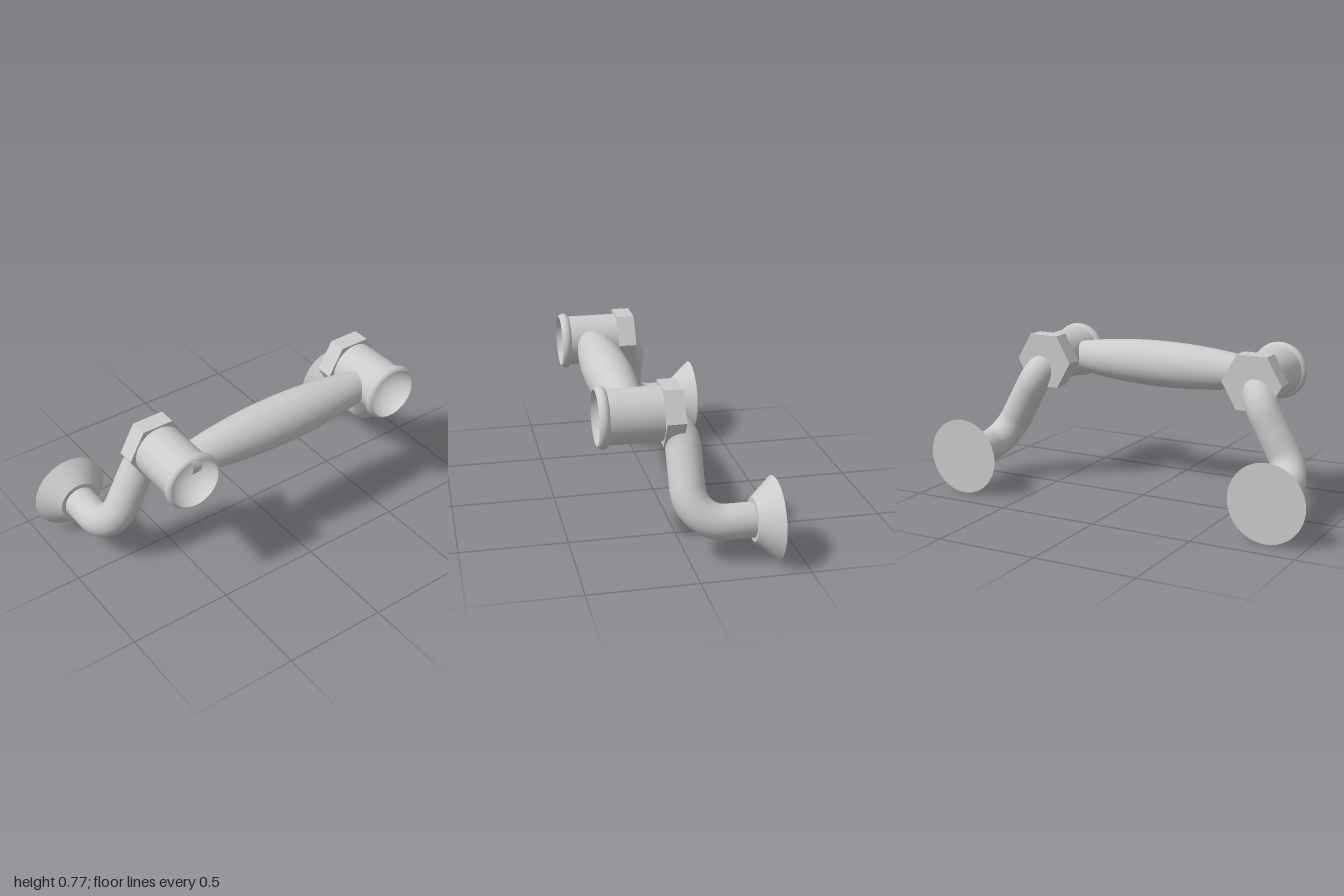
import * as THREE from 'three';

const CUP = { x: 0.57, y: 0.627 };      // axis of the open end cups
const FLANGE = { x: 0.8125, y: 0.1875 }; // axis of the wall flanges
const material = new THREE.MeshStandardMaterial({ color: 0xcccccc });
const flatMaterial = new THREE.MeshStandardMaterial({ color: 0xcccccc, flatShading: true });

function add(parent, name, geometry, mat = material) {
  const mesh = new THREE.Mesh(geometry, mat);
  mesh.name = name;
  parent.add(mesh);
  return mesh;
}

// Lathe around the z axis: points are [radius, z]
function latheZ(points) {
  return new THREE.LatheGeometry(points.map(([r, z]) => new THREE.Vector2(r, z)), 64).rotateX(Math.PI / 2);
}

// Points of an arc in the (radius, z) plane
function arc(cr, cz, radius, from, to, steps) {
  return Array.from({ length: steps + 1 }, (_, i) => {
    const a = THREE.MathUtils.degToRad(from + (to - from) * i / steps);
    return [Math.max(0, cr + radius * Math.cos(a)), cz + radius * Math.sin(a)];
  });
}

// Straight runs joined by round bends at the corners
function bentPath(points, bend) {
  const path = new THREE.CurvePath();
  let start = points[0];
  for (let i = 1; i < points.length - 1; i++) {
    const corner = points[i];
    const toward = (p) => p.clone().sub(corner).normalize().multiplyScalar(bend).add(corner);
    const a = toward(points[i - 1]), b = toward(points[i + 1]);
    path.add(new THREE.LineCurve3(start, a));
    path.add(new THREE.CubicBezierCurve3(a, a.clone().lerp(corner, 0.5523), b.clone().lerp(corner, 0.5523), b));
    start = b;
  }
  path.add(new THREE.LineCurve3(start, points[points.length - 1]));
  return path;
}

function createBracket(side) {
  const bracket = new THREE.Group();
  bracket.name = side > 0 ? 'leftBracket' : 'rightBracket';

  // Conical wall flange
  add(bracket, 'wallFlange', new THREE.CylinderGeometry(0.1, 0.1875, 0.1, 64).rotateX(Math.PI / 2))
    .position.set(side * FLANGE.x, FLANGE.y, -0.33);

  // Pipe rising from the flange and bending forward into the nut
  const path = bentPath([
    new THREE.Vector3(side * FLANGE.x, FLANGE.y, -0.3),
    new THREE.Vector3(side * FLANGE.x, FLANGE.y, 0),
    new THREE.Vector3(side * CUP.x, CUP.y, 0),
    new THREE.Vector3(side * CUP.x, CUP.y, 0.18),
  ], 0.16);
  add(bracket, 'pipe', new THREE.TubeGeometry(path, 96, 0.08, 40));

  // Hexagonal nut with corners pointing sideways
  add(bracket, 'hexNut', new THREE.CylinderGeometry(0.153, 0.153, 0.087, 6).rotateY(Math.PI / 2).rotateX(Math.PI / 2), flatMaterial)
    .position.set(side * CUP.x, CUP.y, 0.0435);

  // Cup: straight wall, rolled lip and a hollow bowl
  const cup = new THREE.Group();
  cup.name = 'cup';
  cup.position.set(side * CUP.x, CUP.y, 0);
  add(cup, 'cupWall', latheZ([[0.124, 0.08], [0.124, 0.34]]));
  add(cup, 'cupLip', latheZ(arc(0.1135, 0.3535, 0.0265, -110, 65, 18)));
  add(cup, 'cupBowl', latheZ(arc(0, 0.3775, 0.1247, 0, -90, 24)));
  bracket.add(cup);
  return bracket;
}

export function createModel() {
  const model = new THREE.Group();
  model.name = 'pullHandle';
  for (const side of [-1, 1]) model.add(createBracket(side));

  // Barrel-shaped grip between the cups
  const profile = Array.from({ length: 33 }, (_, i) => {
    const x = -0.52 + 1.04 * i / 32;
    return new THREE.Vector2(0.115 - 0.175 * x * x, x);
  });
  add(model, 'grip', new THREE.LatheGeometry(profile, 64).rotateZ(-Math.PI / 2))
    .position.set(0, CUP.y, 0.22);
  return model;
}
